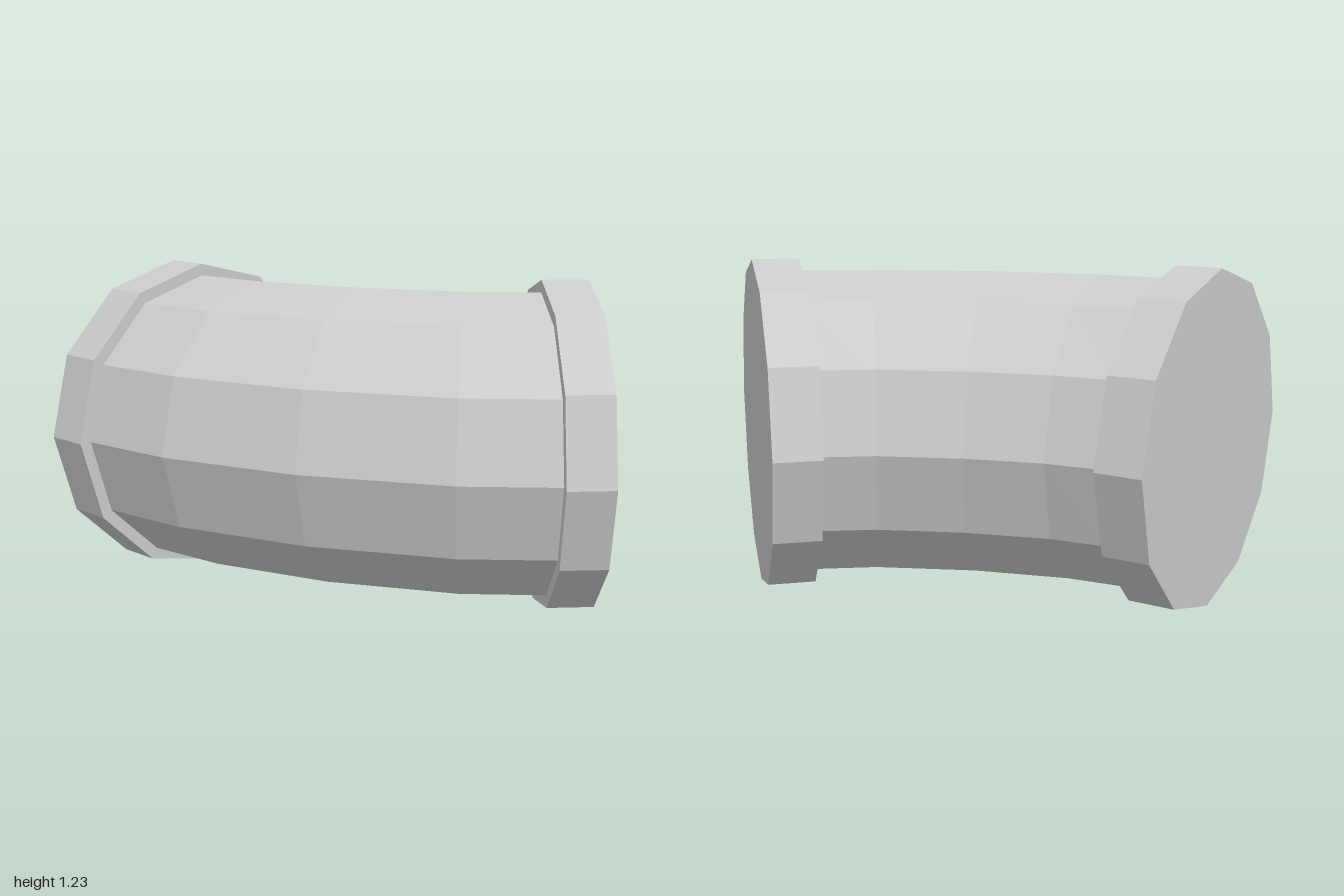
import * as THREE from 'three';

const SIDES = 12;
const AXIS_Y = 0.617;
const PIPE_R = 0.57;
const FLANGE_R = 0.616;
const FLANGE_T = 0.172;

// Bend stations: centre x, centre z, heading in degrees
const STATIONS = [
  [-0.235, -0.83, 0],
  [-0.2, -0.55, 9],
  [-0.075, -0.16, 22.5],
  [0.12, 0.225, 36],
  [0.29, 0.4375, 45],
];

// Faceted tube joining a 12-sided ring at each station
function bentPipe() {
  const pos = [];
  const index = [];
  for (const [x, z, deg] of STATIONS) {
    const a = THREE.MathUtils.degToRad(deg);
    for (let j = 0; j < SIDES; j++) {
      const t = (j / SIDES) * Math.PI * 2;
      const side = PIPE_R * Math.cos(t);
      pos.push(x + side * Math.cos(a), AXIS_Y + PIPE_R * Math.sin(t), z - side * Math.sin(a));
    }
  }
  for (let i = 0; i < STATIONS.length - 1; i++) {
    for (let j = 0; j < SIDES; j++) {
      const a = i * SIDES + j;
      const b = i * SIDES + ((j + 1) % SIDES);
      index.push(a, b, b + SIDES, a, b + SIDES, a + SIDES);
    }
  }
  const geometry = new THREE.BufferGeometry();
  geometry.setAttribute('position', new THREE.Float32BufferAttribute(pos, 3));
  geometry.setIndex(index);
  geometry.computeVertexNormals();
  return geometry;
}

// Solid end collar, extending outward (dir = -1 back, +1 forward) from a station
function flange([x, z, deg], dir) {
  const a = THREE.MathUtils.degToRad(deg);
  const shift = (dir * FLANGE_T) / 2;
  return new THREE.CylinderGeometry(FLANGE_R, FLANGE_R, FLANGE_T, SIDES)
    .rotateX(Math.PI / 2)
    .rotateY(a)
    .translate(x + shift * Math.sin(a), AXIS_Y, z + shift * Math.cos(a));
}

export function createModel() {
  const group = new THREE.Group();
  group.name = 'pipeElbow';
  const material = new THREE.MeshStandardMaterial({ color: 0xcccccc, flatShading: true });
  const add = (name, geometry) => {
    const mesh = new THREE.Mesh(geometry, material);
    mesh.name = name;
    group.add(mesh);
  };

  add('bentPipe', bentPipe());
  add('backFlange', flange(STATIONS[0], -1));
  add('frontFlange', flange(STATIONS[STATIONS.length - 1], 1));
  return group;
}
